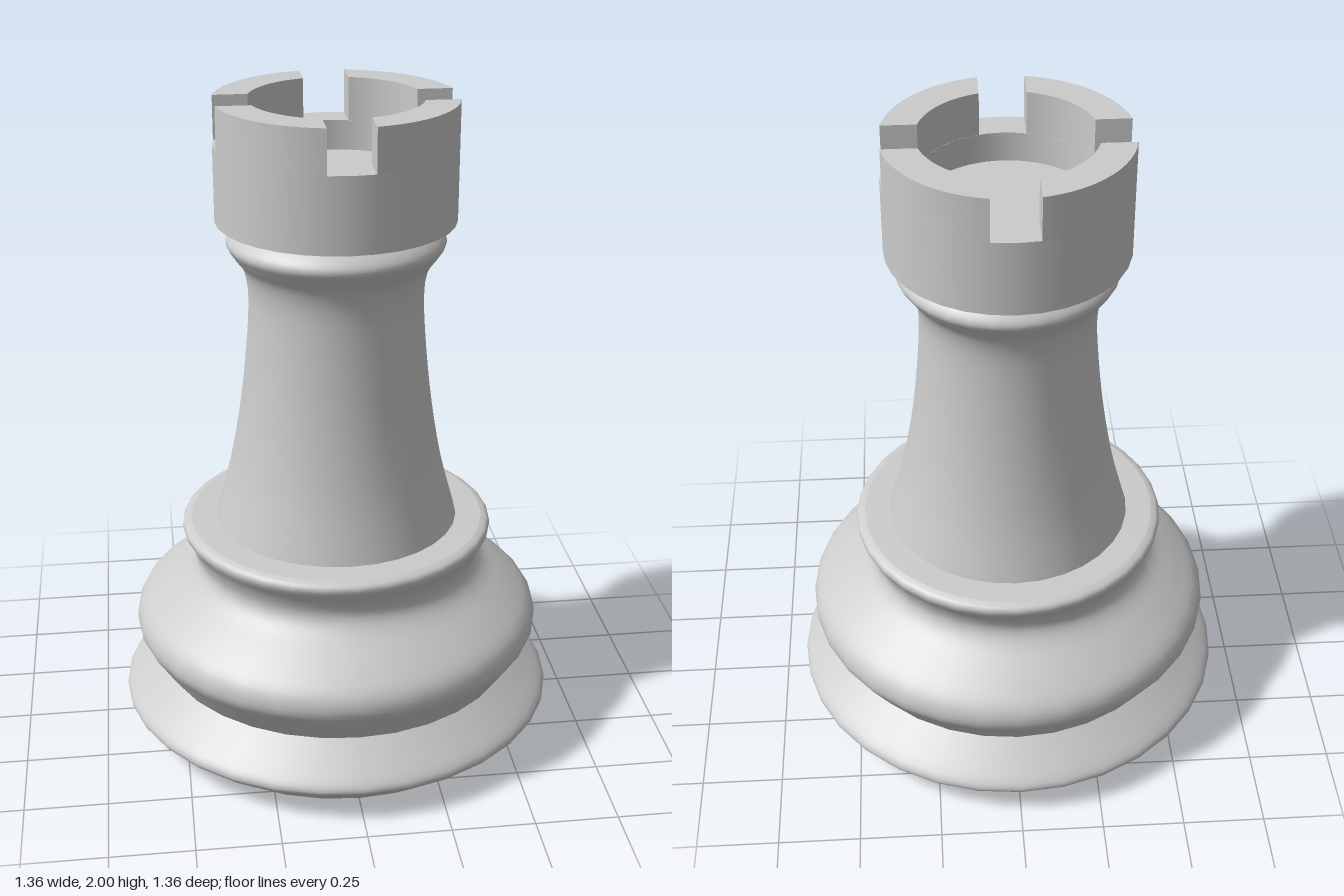
import * as THREE from 'three';
import { toCreasedNormals } from 'three/addons/utils/BufferGeometryUtils.js';

const SEGMENTS = 32;
const material = new THREE.MeshStandardMaterial({ color: 0xcccccc, side: THREE.DoubleSide });

// Head dimensions
const OUTER = 0.355, INNER = 0.255, HEAD_Y = 1.645, NOTCH_Y = 1.87, TOP_Y = 2, FLOOR_Y = 1.78;
const NOTCH_HALF = 0.068;

// Turned surface; a profile with a sample count is rounded by a spline
function turned(name, profile, samples = 0) {
  let points = profile.map(([r, y]) => new THREE.Vector2(r, y));
  if (samples) points = new THREE.SplineCurve(points).getPoints(samples);
  const mesh = new THREE.Mesh(new THREE.LatheGeometry(points, SEGMENTS), material);
  mesh.name = name;
  return mesh;
}

// One quarter of the battlement ring, with parallel-sided gaps
function merlonGeometry() {
  const a = Math.asin(NOTCH_HALF / OUTER), b = Math.asin(NOTCH_HALF / INNER);
  const shape = new THREE.Shape();
  shape.absarc(0, 0, OUTER, a, Math.PI / 2 - a, false);
  shape.absarc(0, 0, INNER, Math.PI / 2 - b, b, true);
  shape.closePath();
  const geometry = new THREE.ExtrudeGeometry(shape, {
    depth: TOP_Y - NOTCH_Y, bevelEnabled: false, curveSegments: 8,
  });
  geometry.rotateX(-Math.PI / 2);
  geometry.translate(0, NOTCH_Y, 0);
  return toCreasedNormals(geometry, 0.6);
}

export function createModel() {
  const model = new THREE.Group();
  model.name = 'rook';

  // Hollow foot, open underneath
  model.add(turned('foot', [
    [0.565, 0], [0.62, 0.045], [0.668, 0.085], [0.68, 0.105], [0.665, 0.13], [0.61, 0.175], [0.56, 0.215],
  ], 18));

  // Bulging base and its collar
  model.add(turned('base', [
    [0.56, 0.215], [0.605, 0.285], [0.635, 0.34], [0.62, 0.4], [0.55, 0.46], [0.475, 0.515],
    [0.445, 0.56], [0.455, 0.61], [0.48, 0.655], [0.477, 0.678], [0.455, 0.688],
  ], 36));
  model.add(turned('collarTop', [[0.455, 0.688], [0.375, 0.69]]));

  // Tapered shaft ending in a rounded neck ring
  model.add(turned('shaft', [
    [0.375, 0.69], [0.325, 0.88], [0.285, 1.12], [0.262, 1.38], [0.272, 1.49],
    [0.305, 1.545], [0.325, 1.58], [0.31, 1.61], [0.265, 1.645],
  ], 36));

  // Head drum with a sunken floor
  const head = new THREE.Group();
  head.name = 'head';
  head.add(turned('headUnderside', [[0.265, HEAD_Y], [OUTER, HEAD_Y]]));
  head.add(turned('headWall', [[OUTER, HEAD_Y], [OUTER, NOTCH_Y]]));
  head.add(turned('notchFloor', [[OUTER, NOTCH_Y], [INNER, NOTCH_Y]]));
  head.add(turned('headInnerWall', [[INNER, NOTCH_Y], [INNER, FLOOR_Y]]));
  head.add(turned('headFloor', [[INNER, FLOOR_Y], [0, FLOOR_Y]]));

  // Four battlements around the rim
  const geometry = merlonGeometry();
  for (let i = 0; i < 4; i++) {
    const merlon = new THREE.Mesh(geometry, material);
    merlon.name = 'battlement';
    merlon.rotation.y = i * Math.PI / 2;
    head.add(merlon);
  }
  model.add(head);
  return model;
}
